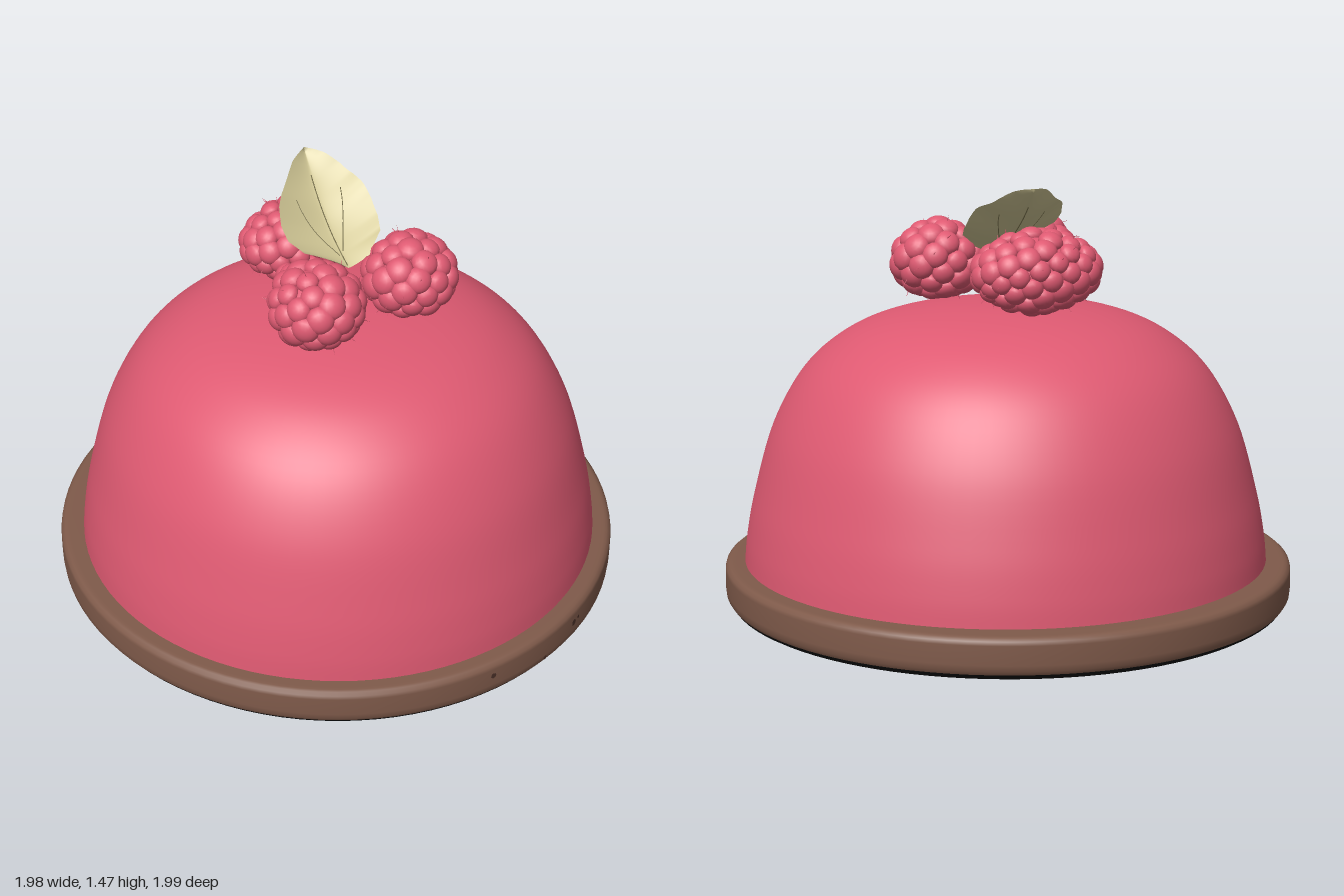
import * as THREE from 'three';
import { mergeGeometries } from 'three/addons/utils/BufferGeometryUtils.js';
import { ParametricGeometry } from 'three/addons/geometries/ParametricGeometry.js';

const material = (name, color, side = THREE.FrontSide) => {
  const m = new THREE.MeshStandardMaterial({ color, side });
  m.name = name;
  return m;
};

const glazePink = material('raspberry pink', 0xdf5a72);
const biscuitBrown = material('biscuit brown', 0x7f5a4a);
const underBlack = material('underside black', 0x111111);
const leafGreen = material('pale leaf green', 0xd2c896, THREE.DoubleSide);
const veinOlive = material('vein olive', 0x77704c);
const crumbDark = material('dark crumb', 0x4a3028);

function mesh(name, geometry, mat) {
  const m = new THREE.Mesh(geometry, mat);
  m.name = name;
  return m;
}

const lathe = (points, segments = 96) =>
  new THREE.LatheGeometry(points.map(([x, y]) => new THREE.Vector2(x, y)), segments);

// Smooth interpolation through evenly spaced values
function sample(values, t) {
  const f = Math.min(t, 0.9999) * (values.length - 1);
  const i = Math.floor(f);
  return THREE.MathUtils.lerp(values[i], values[i + 1], f - i);
}

// Berry: an inner core covered by a spiral of round drupelets, plus fine hairs
function createBerry(name, centre, outer, count, bead, spin, hairs) {
  const berry = new THREE.Group();
  berry.name = name;
  berry.position.set(...centre);
  const radii = outer.map(r => r - bead * 0.72);
  const core = new THREE.SphereGeometry(1, 20, 14).scale(...radii);
  const beads = [core];
  const hairParts = [];
  const up = new THREE.Vector3(0, 1, 0);
  for (let i = 0; i < count; i++) {
    const y = 1 - (2 * (i + 0.5)) / count;
    const ring = Math.sqrt(1 - y * y);
    const a = i * 2.39996 + spin;
    const dir = new THREE.Vector3(Math.cos(a) * ring, y, Math.sin(a) * ring);
    const pos = dir.clone().multiply(new THREE.Vector3(...radii));
    const normal = dir.clone().divide(new THREE.Vector3(...radii)).normalize();
    const turn = new THREE.Quaternion().setFromUnitVectors(up, normal);
    const size = bead * (0.94 + 0.1 * Math.sin(i * 4.7 + spin));
    beads.push(new THREE.SphereGeometry(size, 14, 10)
      .scale(1, 0.72, 1).applyQuaternion(turn).translate(pos.x, pos.y, pos.z));
    if (hairs && i % 4 === 1) {
      const tip = pos.clone().addScaledVector(normal, size * 0.85);
      hairParts.push(new THREE.ConeGeometry(0.0025, 0.035, 4)
        .rotateZ(0.6 * Math.sin(i * 3)).applyQuaternion(turn).translate(tip.x, tip.y, tip.z));
    }
  }
  berry.add(mesh('drupelets', mergeGeometries(beads), glazePink));
  if (hairParts.length) berry.add(mesh('hairs', mergeGeometries(hairParts), glazePink));
  return berry;
}

// Leaf surface: u runs from base to tip, v from the left edge to the right edge
const leftWidths = [0.03, 0.145, 0.18, 0.185, 0.17, 0.14, 0.1, 0.06, 0];
const rightWidths = [0.08, 0.15, 0.165, 0.165, 0.155, 0.135, 0.105, 0.06, 0];
function leafPoint(u, v, target) {
  const s = v * 2 - 1;
  const width = sample(s < 0 ? leftWidths : rightWidths, u);
  const lift = 0.07 * Math.pow(Math.abs(s), 1.4) * Math.sin(Math.PI * Math.min(1, u * 0.85 + 0.12));
  const ripple = 0.006 * Math.sin(u * 16) * Math.abs(s);
  target.set(
    0.01 + 0.045 * u * u + s * width,
    1.21 + 0.26 * u - 0.02 * Math.sin(Math.PI * u) + lift + ripple,
    0.07 - 0.38 * u
  );
}

function createVein(u0, v0, u1, v1, radius) {
  const points = [];
  for (let i = 0; i <= 8; i++) {
    const p = new THREE.Vector3();
    const t = i / 8;
    leafPoint(u0 + (u1 - u0) * t, v0 + (v1 - v0) * t, p);
    points.push(p);
  }
  return new THREE.TubeGeometry(new THREE.CatmullRomCurve3(points), 16, radius, 5);
}

function createLeaf() {
  const leaf = new THREE.Group();
  leaf.name = 'leaf';
  leaf.add(mesh('leafBlade', new ParametricGeometry(leafPoint, 32, 24), leafGreen));
  const veins = [
    createVein(0.02, 0.5, 0.8, 0.5, 0.0022),
    createVein(0.12, 0.47, 0.6, 0.2, 0.0016),
    createVein(0.15, 0.53, 0.6, 0.8, 0.0016)
  ];
  leaf.add(mesh('leafVeins', mergeGeometries(veins), veinOlive));
  return leaf;
}

// Biscuit base with rounded rim and a black underside
function createBase() {
  const base = new THREE.Group();
  base.name = 'base';
  const rim = lathe([[0.985, 0.026], [0.994, 0.04], [0.996, 0.06], [0.996, 0.125],
    [0.993, 0.138], [0.982, 0.147], [0.972, 0.149], [0.96, 0.15], [0.86, 0.15]]);
  const under = lathe([[0, 0.004], [0.95, 0.004], [0.962, 0.006], [0.976, 0.014], [0.985, 0.026]]);
  base.add(mesh('biscuitRim', rim, biscuitBrown), mesh('underside', under, underBlack));
  // Small pits around the side of the biscuit
  const pits = [[0.03, 0.1, 0.011], [0.44, 0.095, 0.013], [0.47, 0.1, 0.007], [0.27, 0.05, 0.008],
    [1.12, 0.1, 0.009]].map(([a, y, r]) => new THREE.CircleGeometry(r, 7)
    .translate(0, y, 0.9975).rotateY(a));
  base.add(mesh('biscuitPits', mergeGeometries(pits), crumbDark));
  base.scale.x = 0.992;
  return base;
}

function createDome() {
  const curve = new THREE.SplineCurve([[0.915, 0.145], [0.905, 0.24], [0.876, 0.39], [0.81, 0.62],
    [0.705, 0.81], [0.57, 0.93], [0.41, 1.0], [0.2, 1.038], [0, 1.048]]
    .map(([x, y]) => new THREE.Vector2(x, y)));
  const points = curve.getPoints(48).map(p => [Math.max(0, p.x), p.y]);
  const dome = mesh('glazedDome', lathe(points), glazePink);
  dome.position.z = 0.017;
  return dome;
}

export function createModel() {
  const model = new THREE.Group();
  model.name = 'raspberryDomeCake';
  model.add(
    createBase(),
    createDome(),
    createBerry('rightBerry', [-0.178, 1.187, 0.182], [0.172, 0.15, 0.175], 52, 0.046, 0.4, true),
    createBerry('leftBerry', [0.185, 1.187, 0.173], [0.172, 0.148, 0.168], 48, 0.047, 2.1, true),
    createBerry('backBerry', [0.002, 1.185, -0.222], [0.238, 0.15, 0.18], 84, 0.042, 1.2, true),
    createBerry('backBerryEnd', [-0.125, 1.13, -0.04], [0.085, 0.09, 0.085], 16, 0.036, 0.9, false),
    createLeaf()
  );
  return model;
}
